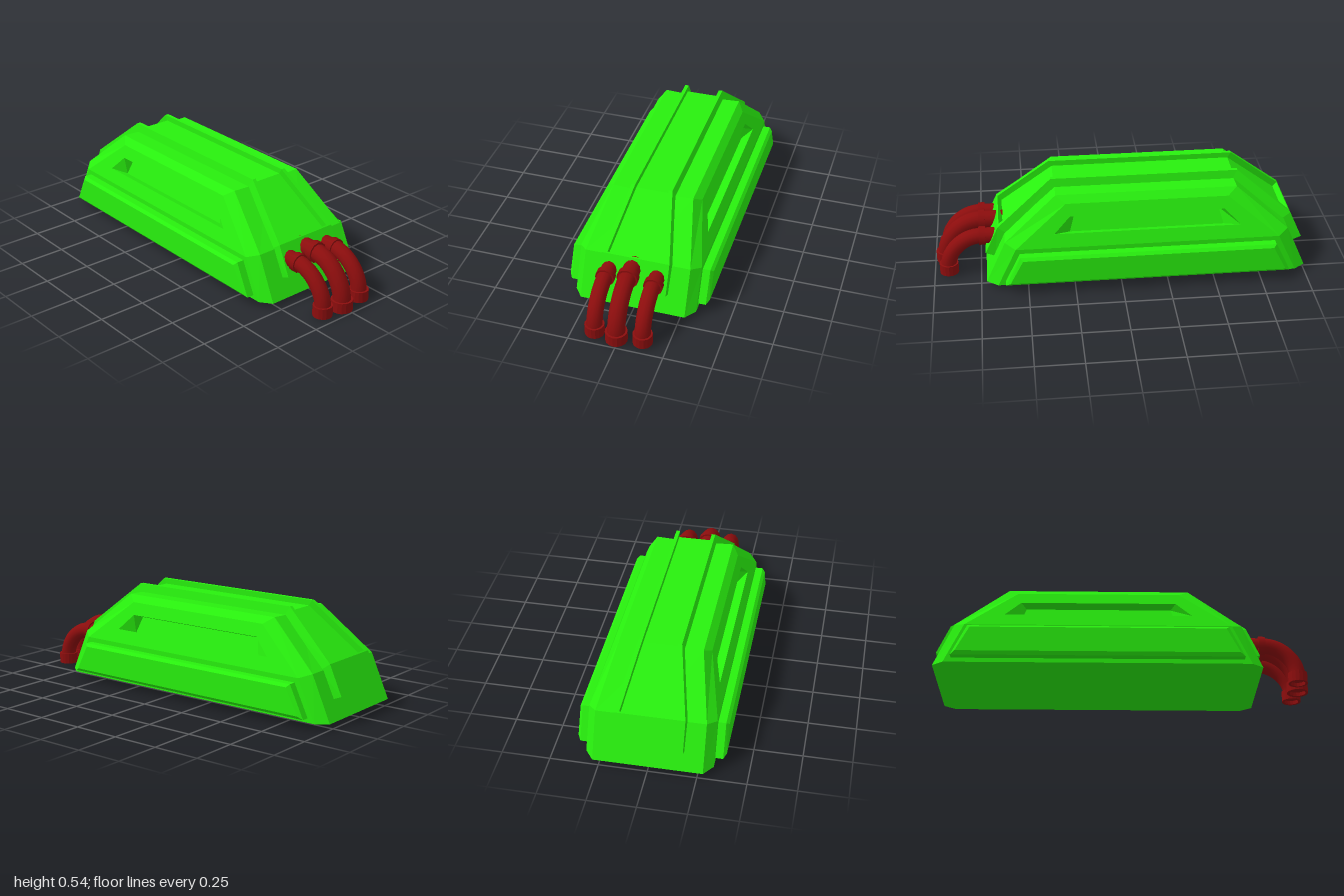
import * as THREE from 'three';

const green = new THREE.MeshStandardMaterial({ color: 0x28f00e, flatShading: true });
const red = new THREE.MeshStandardMaterial({ color: 0x8c0d0d, side: THREE.DoubleSide });

const x0 = ([, y, z]) => [0, y, z]; // project a point to the middle planes
const z0 = ([x, y]) => [x, y, 0];

// Mesh from quads given for one quarter (+x, +z) and mirrored to the other three.
// Each face is [outward hint, a, b, c, d].
function quarterMesh(name, faces) {
  const pos = [];
  for (const [hint, ...corners] of faces) {
    const [a, b, c, d] = corners.map((p) => new THREE.Vector3(...p));
    const normal = c.clone().sub(a).cross(d.clone().sub(b));
    const quad = normal.dot(new THREE.Vector3(...hint)) > 0 ? [a, b, c, d] : [d, c, b, a];
    for (const sx of [1, -1]) for (const sz of [1, -1]) {
      const q = sx * sz > 0 ? quad : [...quad].reverse();
      for (const i of [0, 1, 2, 0, 2, 3]) pos.push(q[i].x * sx, q[i].y, q[i].z * sz);
    }
  }
  const g = new THREE.BufferGeometry();
  g.setAttribute('position', new THREE.Float32BufferAttribute(pos, 3));
  g.computeVertexNormals();
  const mesh = new THREE.Mesh(g, green);
  mesh.name = name;
  return mesh;
}

// Chamfered hull with a sunken slot in each sloping side
function makeHull() {
  const E0 = [0.86, 0.03, 0.28], S0 = [0.8, 0.03, 0.325];
  const E1 = [0.755, 0.265, 0.28], S1 = [0.7, 0.245, 0.325];
  const T = [0.48, 0.5, 0.215], U = [0.43, 0.465, 0.25];
  const R = [0.48, 0.49, 0], B = [0, 0.03, 0.28];
  const onSide = (x, y) => [x, y, 0.325 - (y - 0.245) * 0.341];
  const sink = ([, y, z], x) => [x, y - 0.016, z - 0.047];
  const H0 = onSide(0.495, 0.315), H1 = onSide(0.41, 0.4);
  const F0 = sink(H0, 0.41), F1 = sink(H1, 0.385);
  return quarterMesh('hull', [
    [[1, 0, 0], E0, z0(E0), z0(E1), E1],
    [[1, 0, 1], E0, S0, S1, E1],
    [[0, 0, 1], S0, x0(S0), x0(S1), S1],
    [[1, 1, 0], E1, z0(E1), R, T],
    [[1, 1, 1], E1, S1, U, T],
    [[0, 1, 1], T, U, x0(U), x0(T)],
    [[0, 1, 0], T, x0(T), x0(R), R],
    [[0, -1, 0], E0, S0, x0(S0), B],
    [[0, -1, 0], E0, B, z0(B), z0(E0)],
    // side face around the slot
    [[0, 0, 1], S1, x0(S1), x0(H0), H0],
    [[0, 0, 1], S1, H0, H1, U],
    [[0, 0, 1], H1, x0(H1), x0(U), U],
    // slot walls and floor
    [[0, 1, 0], H0, x0(H0), x0(F0), F0],
    [[-1, 0, 0.5], H0, H1, F1, F0],
    [[0, -1, 0], H1, x0(H1), x0(F1), F1],
    [[0, 0, 1], F0, x0(F0), x0(F1), F1],
  ]);
}

// Raised band over the hull with two rails and a sunken middle
function makeRailBand() {
  const A0 = [0.86, 0.145, 0.18], A1 = [0.79, 0.3, 0.18], A2 = [0.5, 0.54, 0.11];
  const B1 = [0.784, 0.305, 0.15], B2 = [0.5, 0.54, 0.09];
  const C1 = [0.763, 0.278, 0.15], C2 = [0.483, 0.51, 0.09];
  const D0 = [0.81, 0.125, 0.18], D1 = [0.735, 0.26, 0.185], D2 = [0.46, 0.47, 0.125];
  return quarterMesh('railBand', [
    [[0, -1, 0], A0, z0(A0), z0(D0), D0],
    [[0, 0, 1], A0, A1, D1, D0],
    [[0, 0, 1], A1, A2, D2, D1],
    [[0, 0, 1], A2, x0(A2), x0(D2), D2],
    [[1, 0, 0], A0, z0(A0), z0(A1), A1],
    [[1, 1, 0], A1, z0(A1), z0(B1), B1],
    [[1, 1, 0], A1, A2, B2, B1],
    [[0, 1, 0], A2, x0(A2), x0(B2), B2],
    // sunken middle
    [[0, 0, -1], B1, B2, C2, C1],
    [[0, 0, -1], B2, x0(B2), x0(C2), C2],
    [[-1, 1, 0], B1, z0(B1), z0(C1), C1],
    [[1, 1, 0], C1, z0(C1), z0(C2), C2],
    [[0, 1, 0], C2, z0(C2), x0(z0(C2)), x0(C2)],
  ]);
}

// Bevelled plates on both long sides
function makeSidePanels() {
  const P0 = [0.76, 0.053, 0.365], P1 = [0.68, 0.22, 0.365];
  const Q0 = [0.735, 0.07, 0.38], Q1 = [0.665, 0.205, 0.38];
  const back = ([x, y]) => [x, y, 0.28];
  return quarterMesh('sidePanels', [
    [[0, 0, 1], Q0, x0(Q0), x0(Q1), Q1],
    [[0, -1, 1], P0, x0(P0), x0(Q0), Q0],
    [[0, 1, 1], P1, x0(P1), x0(Q1), Q1],
    [[1, 0, 1], P0, P1, Q1, Q0],
    [[0, -1, 0], P0, x0(P0), x0(back(P0)), back(P0)],
    [[0, 1, 0], P1, x0(P1), x0(back(P1)), back(P1)],
    [[1, 0, 0], P0, P1, back(P1), back(P0)],
  ]);
}

// Bent pipe with a collar at the hull and a hollow collar at its foot
function makePipe(name, z, y, endX, r, foot) {
  const pipe = new THREE.Group();
  pipe.name = name;
  const startX = 0.74, footTop = foot + 0.055, k = 0.55;
  const path = new THREE.CurvePath();
  path.add(new THREE.LineCurve3(new THREE.Vector3(0.62, y, z), new THREE.Vector3(startX, y, z)));
  path.add(new THREE.CubicBezierCurve3(
    new THREE.Vector3(startX, y, z),
    new THREE.Vector3(startX + (endX - startX) * k, y, z),
    new THREE.Vector3(endX, footTop + (y - footTop) * (1 - k), z),
    new THREE.Vector3(endX, footTop - 0.01, z)));
  const tube = new THREE.Mesh(new THREE.TubeGeometry(path, 18, r, 12), red);
  tube.name = 'pipeTube';
  const collar = new THREE.Mesh(new THREE.CylinderGeometry(r * 1.2, r * 1.2, 0.035, 12), red);
  collar.name = 'hullCollar';
  collar.rotation.z = Math.PI / 2;
  collar.position.set(0.735, y, z);
  const R = r * 1.22, h = 0.058;
  const profile = [[0, 0.02], [r * 0.9, 0.02], [r * 0.9, 0], [R, 0], [R, h], [r * 0.9, h]];
  const footMaterial = red.clone();
  footMaterial.flatShading = true;
  const footCollar = new THREE.Mesh(
    new THREE.LatheGeometry(profile.map((p) => new THREE.Vector2(...p)), 16), footMaterial);
  footCollar.name = 'footCollar';
  footCollar.position.set(endX, foot, z);
  pipe.add(tube, collar, footCollar);
  return pipe;
}

export function createModel() {
  const model = new THREE.Group();
  model.name = 'armouredPod';
  const body = new THREE.Group();
  body.name = 'body';
  body.position.x = -0.14;
  body.add(makeHull(), makeRailBand(), makeSidePanels());
  model.add(body);
  model.add(
    makePipe('leftPipe', 0.132, 0.222, 0.922, 0.042, 0.004),
    makePipe('middlePipe', 0.012, 0.243, 0.936, 0.047, 0),
    makePipe('rightPipe', -0.122, 0.222, 0.922, 0.042, 0.004));
  return model;
}
